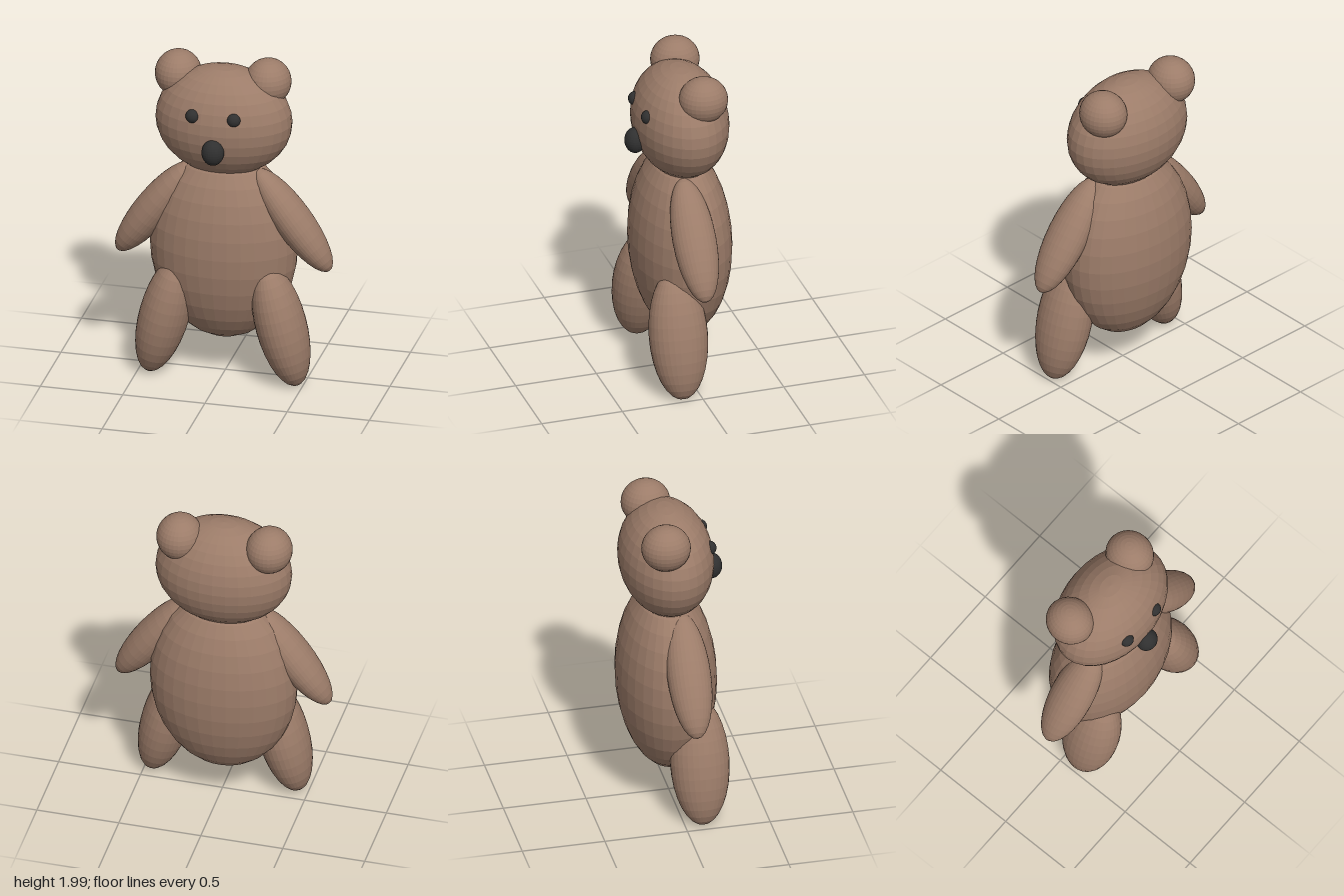
import * as THREE from 'three';

export function createModel() {
  const bear = new THREE.Group();
  bear.name = 'teddyBear';

  const fur = new THREE.MeshStandardMaterial({ color: 0x9c7c69 });
  fur.name = 'brownFur';
  const dark = new THREE.MeshStandardMaterial({ color: 0x303030 });
  dark.name = 'darkGrey';

  // Faceted ellipsoid; tilt leans it in the front plane
  function ellipsoid(name, material, radii, position, tilt = 0) {
    const geometry = new THREE.SphereGeometry(1, 32, 16).scale(...radii).toNonIndexed();
    geometry.computeVertexNormals();
    const mesh = new THREE.Mesh(geometry, material);
    mesh.name = name;
    mesh.position.set(...position);
    mesh.rotation.z = tilt;
    bear.add(mesh);
  }

  // Torso, head and nose
  ellipsoid('body', fur, [0.445, 0.602, 0.294], [-0.014, 0.825, -0.021]);
  ellipsoid('head', fur, [0.411, 0.34, 0.279], [-0.014, 1.62, -0.021]);
  ellipsoid('nose', dark, [0.067, 0.079, 0.063], [-0.013, 1.52, 0.256]);

  // Paired parts, each pair centred on its own x
  for (const side of [1, -1]) {
    const label = side > 0 ? 'left' : 'right';
    ellipsoid(label + 'Ear', fur, [0.138, 0.14, 0.147], [side * 0.273 - 0.035, 1.86, -0.086]);
    ellipsoid(label + 'Eye', dark, [0.042, 0.042, 0.04], [side * 0.125 - 0.021, 1.725, 0.215]);
    ellipsoid(label + 'Arm', fur, [0.11, 0.376, 0.131], [side * 0.42 - 0.002, 1.03, 0.027],
      side * THREE.MathUtils.degToRad(36.5));
    ellipsoid(label + 'Leg', fur, [0.149, 0.391, 0.177], [side * 0.353 + 0.012, 0.384, 0.11],
      side * THREE.MathUtils.degToRad(14.7));
  }
  return bear;
}
